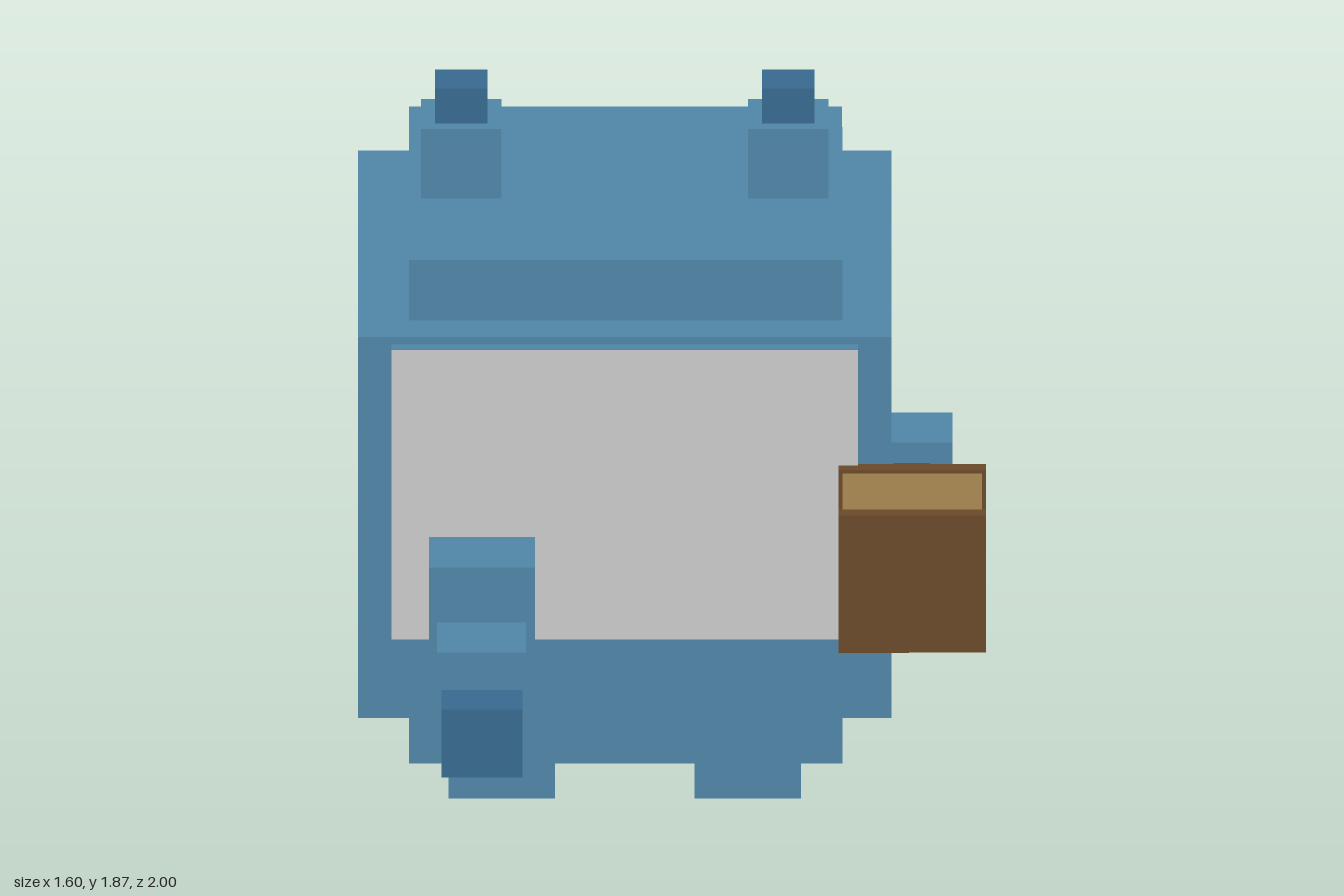
import * as THREE from 'three';

const mat = (color) => new THREE.MeshStandardMaterial({ color, flatShading: true });

export function createModel() {
  const model = new THREE.Group();
  model.name = 'blockCreature';
  const blue = mat(0x5087a8), darkBlue = mat(0x386a90);
  const grey = mat(0xcccccc), brown = mat(0x6b4a2a), tan = mat(0x9a7c4a);

  // Box given by its [min, max] range on each axis
  function block(name, material, x, y, z, parent = model) {
    const mesh = new THREE.Mesh(
      new THREE.BoxGeometry(x[1] - x[0], y[1] - y[0], z[1] - z[0]), material);
    mesh.position.set((x[0] + x[1]) / 2, (y[0] + y[1]) / 2, (z[0] + z[1]) / 2);
    mesh.name = name;
    parent.add(mesh);
    return mesh;
  }
  function group(name) {
    const g = new THREE.Group();
    g.name = name;
    model.add(g);
    return g;
  }

  // Body: wide block with a narrower step above and below
  block('body', blue, [-0.8, 0.555], [0.38, 1.42], [-0.885, 0.405]);
  block('topStep', blue, [-0.67, 0.43], [1.42, 1.585], [-0.77, 0.29]);
  block('bottomStep', blue, [-0.67, 0.43], [0.21, 0.38], [-0.77, 0.29]);

  // Face: shallow blue plate with a grey front
  block('facePlate', blue, [-0.715, 0.47], [0.61, 1.4], [0.405, 0.441]);
  const face = new THREE.Mesh(new THREE.PlaneGeometry(1.185, 0.79), grey);
  face.position.set(-0.1225, 1.005, 0.444);
  face.name = 'face';
  model.add(face);

  // Back plates
  block('backPlate', grey, [-0.715, 0.47], [0.43, 1.245], [-1, -0.885]);
  block('lowerBackPlate', grey, [-0.6, 0.355], [0.265, 0.43], [-0.94, -0.772]);

  // Ears and feet, mirrored about the body's own centre line
  const mid = -0.1225;
  for (const [side, s] of [['left', 1], ['right', -1]]) {
    const range = (centre, width) => [mid + s * centre - width / 2, mid + s * centre + width / 2];
    const ear = group(side + 'Ear');
    block('earBase', blue, range(0.415, 0.205), [1.585, 1.775], [-0.342, -0.135], ear);
    block('earTip', darkBlue, range(0.415, 0.133), [1.775, 1.87], [-0.306, -0.173], ear);
    block(side + 'Foot', blue, range(0.3125, 0.27), [0, 0.17], [-0.348, 0]);
  }

  // Forward-reaching arm of shrinking, descending blocks
  const arm = group('rightArm');
  block('upperArm', blue, [-0.62, -0.35], [0.615, 0.89], [0.405, 0.657], arm);
  block('forearm', blue, [-0.6, -0.373], [0.513, 0.74], [0.62, 0.865], arm);
  block('hand', darkBlue, [-0.588, -0.383], [0.453, 0.638], [0.815, 1], arm);

  // Left hand holding the hammer
  block('leftHand', blue, [0.555, 0.71], [0.795, 1.0], [-0.137, 0.072]);
  const hammer = group('hammer');
  block('handle', brown, [0.56, 0.653], [0.85, 0.945], [0.07, 0.436], hammer);
  block('hammerHead', tan, [0.43, 0.785], [0.722, 1.075], [0.475, 0.75], hammer);
  for (const z of [0.436, 0.75])
    block('hammerCap', brown, [0.42, 0.795], [0.71, 1.085], [z, z + 0.04], hammer);

  return model;
}
